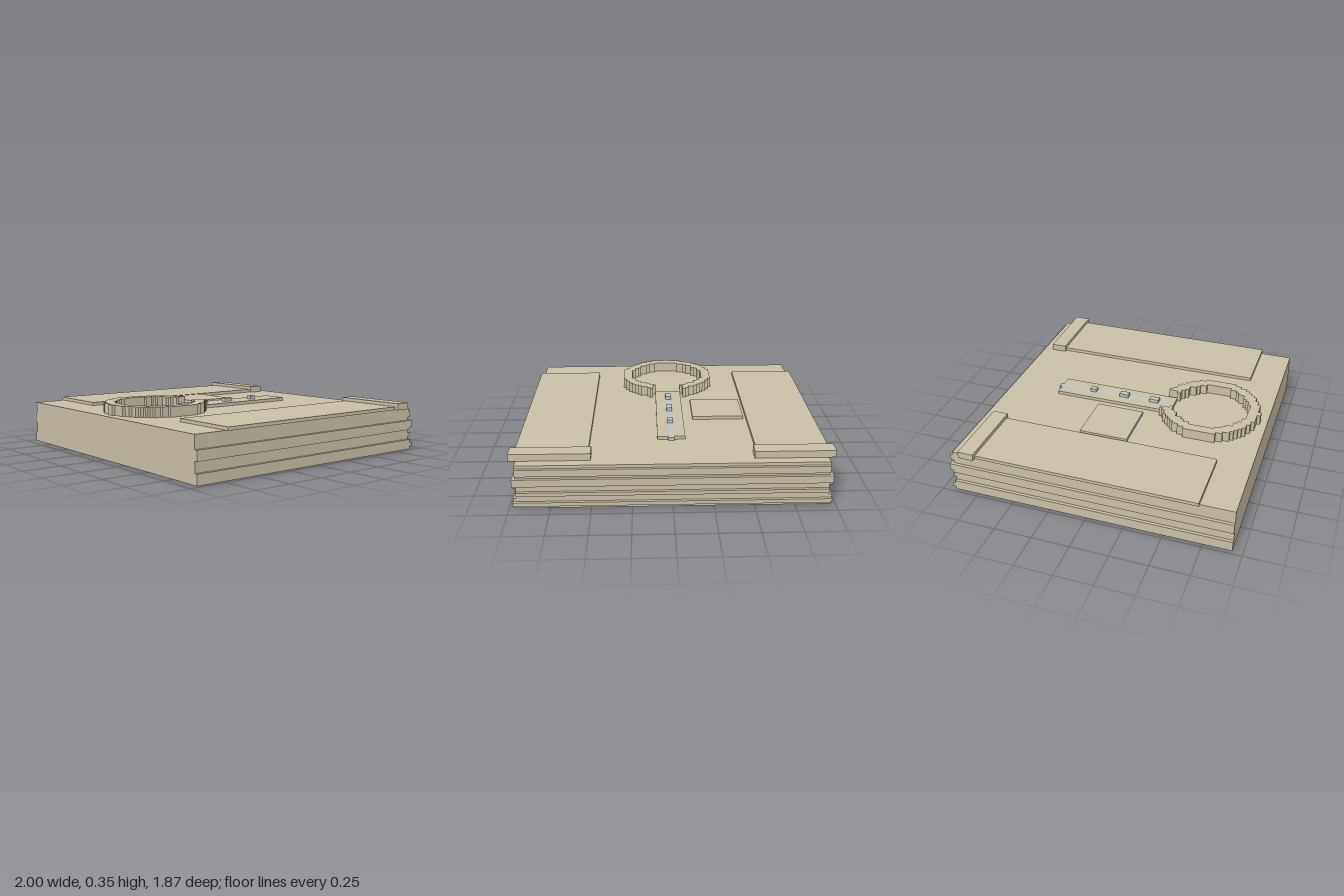
import * as THREE from 'three';

export function createModel() {
  const model = new THREE.Group();
  const tan = new THREE.MeshStandardMaterial({ name: 'warm stone', color: 0xc9bfa7 });
  const grey = new THREE.MeshStandardMaterial({ name: 'pale blue grey', color: 0xbec4c0 });
  const TOP = 0.285;

  // Box given by its limits on each axis
  function box(name, material, x0, x1, y0, y1, z0, z1) {
    const mesh = new THREE.Mesh(new THREE.BoxGeometry(x1 - x0, y1 - y0, z1 - z0), material);
    mesh.position.set((x0 + x1) / 2, (y0 + y1) / 2, (z0 + z1) / 2);
    mesh.name = name;
    model.add(mesh);
  }

  // Slab with two stepped grooves along each side
  const side = [[0.975, 0], [0.975, 0.067], [0.955, 0.067], [0.955, 0.135],
    [0.975, 0.135], [0.975, 0.2], [0.955, 0.2], [0.955, TOP]];
  const outline = [...side, ...side.map(([x, y]) => [-x, y]).reverse()];
  const slab = new THREE.Mesh(new THREE.ExtrudeGeometry(
    new THREE.Shape(outline.map(([x, y]) => new THREE.Vector2(x, y))),
    { depth: 1.85, bevelEnabled: false }), tan);
  slab.position.z = -0.915;
  slab.name = 'slab';
  model.add(slab);

  // Ridges across the back
  for (const [w, y0, y1] of [[0.975, 0.02, 0.045], [0.955, 0.088, 0.112],
    [0.975, 0.152, 0.2], [0.955, 0.22, 0.265]]) {
    box('backRidge', tan, -w, w, y0, y1, -0.935, -0.915);
  }

  // Raised side panels, each with a thicker bar behind it
  for (const [name, s] of [['left', 1], ['right', -1]]) {
    const span = (a, b) => (s > 0 ? [a, b] : [-b, -a]);
    box(name + 'Panel', tan, ...span(0.52, 0.975), TOP, 0.307, -0.745, 0.715);
    box(name + 'Bar', tan, ...span(0.5, 1), TOP, 0.33, -0.85, -0.745);
  }

  // Square plate with a pale front edge
  box('squarePlate', tan, -0.5, -0.155, TOP, 0.307, -0.22, 0.096);
  box('squarePlateEdge', grey, -0.5, -0.155, TOP, 0.307, 0.096, 0.105);

  // Long strip: tan sides, pale middle and three studs
  box('stripRightSide', tan, -0.09, -0.02, TOP, 0.307, -0.55, 0.28);
  box('stripLeftSide', tan, 0.02, 0.09, TOP, 0.307, -0.55, 0.28);
  box('stripMiddle', grey, -0.02, 0.02, TOP, 0.307, -0.57, 0.28);
  for (const [z0, z1] of [[-0.33, -0.288], [-0.112, -0.048], [0.107, 0.172]]) {
    box('stripStud', grey, -0.02, 0.02, 0.307, 0.33, z0, z1);
  }

  // Stepped ring, open at the back where the strip enters
  const v = 0.0217;
  const width = (r, row) => Math.max(1, Math.floor(Math.sqrt(Math.max(0, r * r - row * row * v * v)) / v));
  // Right half of a stepped circle, from row -back to row front
  function steps(r, back, front) {
    const pts = [];
    for (let i = -back; i < front; i++) {
      let w = width(r, Math.max(Math.abs(i), Math.abs(i + 1)));
      if (i === -15) w = 6;
      pts.push([w, i], [w, i + 1]);
    }
    return pts;
  }
  const half = [[5, -12], [5, -15], ...steps(0.345, 15, 16)];
  const inner = steps(0.277, 12, 12);
  const mirror = (pts) => pts.map(([x, z]) => [-x, z]).reverse();
  const path = [...half, ...mirror(half), ...inner.map(([x, z]) => [-x, z]), ...[...inner].reverse()];
  const ring = new THREE.Mesh(new THREE.ExtrudeGeometry(
    new THREE.Shape(path.map(([x, z]) => new THREE.Vector2(x * v, -z * v))),
    { depth: 0.067, bevelEnabled: false }), tan);
  ring.rotation.x = -Math.PI / 2;
  ring.position.set(0, TOP, 0.54);
  ring.name = 'steppedRing';
  model.add(ring);

  return model;
}
